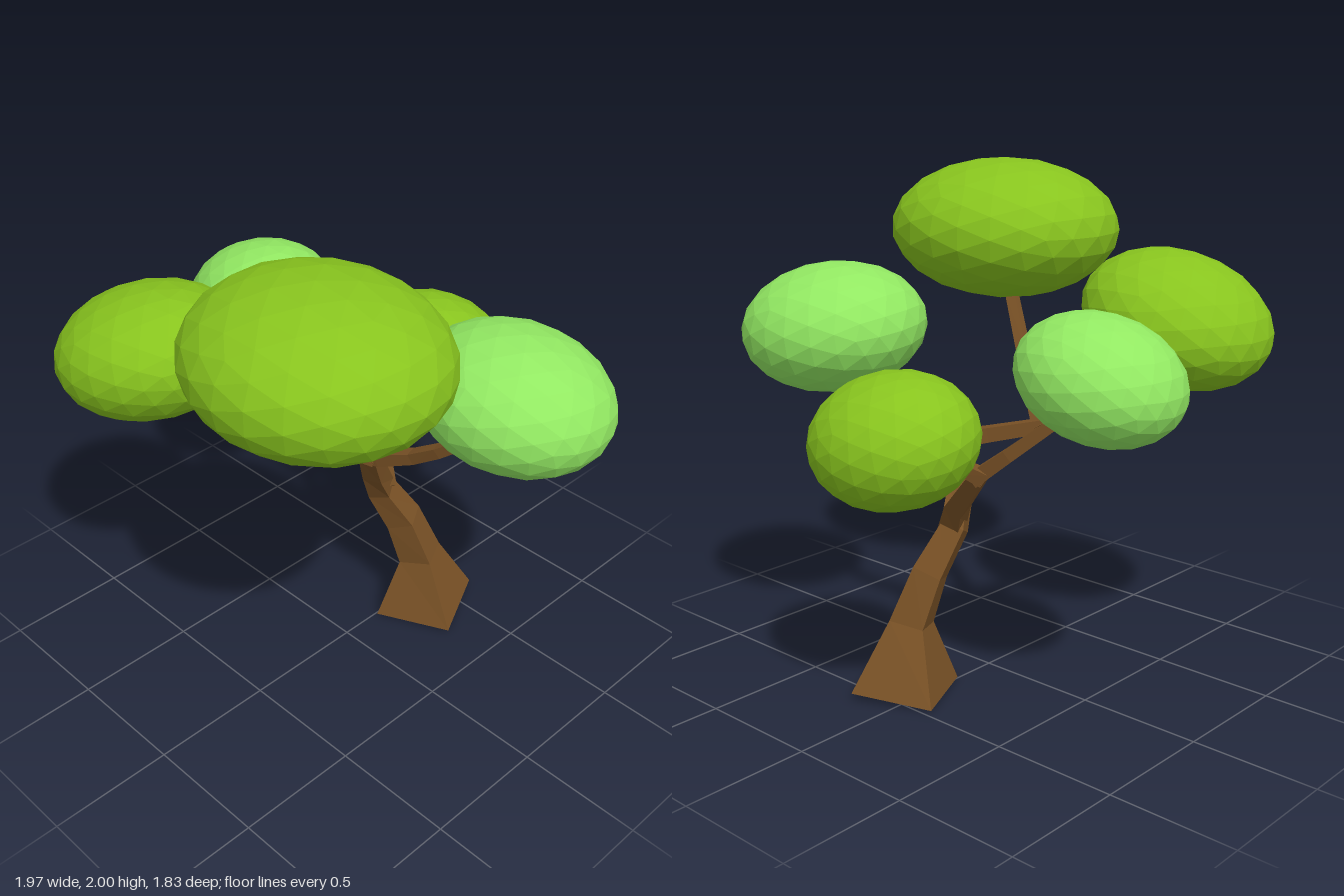
import * as THREE from 'three';

const bark = new THREE.MeshStandardMaterial({ color: 0x7a5226, flatShading: true });
const leaf = new THREE.MeshStandardMaterial({ color: 0x88c41e, flatShading: true });
const paleLeaf = new THREE.MeshStandardMaterial({ color: 0x92e862, flatShading: true });

// Square-section limb lofted through rings [x, y, z, halfWidth], capped at both ends
function limb(name, rings) {
  const centres = rings.map(([x, y, z]) => new THREE.Vector3(x, y, z));
  const ref = new THREE.Vector3(0.42, 0, 0.9);
  const pos = [], index = [];
  const last = rings.length - 1;
  rings.forEach((ring, i) => {
    const t = centres[Math.min(i + 1, last)].clone().sub(centres[Math.max(i - 1, 0)]).normalize();
    const u = t.clone().cross(ref).normalize();
    const v = u.clone().cross(t).normalize();
    for (const [a, b] of [[-1, -1], [-1, 1], [1, 1], [1, -1]]) {
      const p = centres[i].clone().addScaledVector(u, a * ring[3]).addScaledVector(v, b * ring[3]);
      pos.push(p.x, Math.max(0, p.y), p.z);
    }
  });
  for (let i = 0; i < last; i++) {
    for (let k = 0; k < 4; k++) {
      const a = i * 4 + k, b = i * 4 + (k + 1) % 4;
      index.push(a, a + 4, b, b, a + 4, b + 4);
    }
  }
  const e = last * 4;
  index.push(0, 1, 2, 0, 2, 3, e, e + 2, e + 1, e, e + 3, e + 2);
  // Orient every face outward by checking the enclosed volume
  const at = (i) => new THREE.Vector3().fromArray(pos, i * 3).sub(centres[0]);
  let volume = 0;
  for (let i = 0; i < index.length; i += 3) {
    volume += at(index[i]).dot(at(index[i + 1]).cross(at(index[i + 2])));
  }
  if (volume < 0) index.reverse();
  const geo = new THREE.BufferGeometry();
  geo.setAttribute('position', new THREE.Float32BufferAttribute(pos, 3));
  geo.setIndex(index);
  const flat = geo.toNonIndexed();
  flat.computeVertexNormals();
  const mesh = new THREE.Mesh(flat, bark);
  mesh.name = name;
  return mesh;
}

// Faceted ellipsoid of leaves
function foliage(name, material, centre, radii, tiltX = 0, tiltZ = 0) {
  const mesh = new THREE.Mesh(new THREE.IcosahedronGeometry(1, 3), material);
  mesh.name = name;
  mesh.position.set(...centre);
  mesh.scale.set(...radii);
  mesh.rotation.set(tiltX, 0, tiltZ);
  return mesh;
}

export function createModel() {
  const tree = new THREE.Group();
  tree.name = 'tree';

  // Leaning trunk, flared at the base, running up to the front fork
  tree.add(limb('trunk', [
    [0.085, 0.005, -0.395, 0.163], [0.075, 0.28, -0.365, 0.069], [0.03, 0.48, -0.305, 0.058],
    [-0.02, 0.65, -0.22, 0.046], [0.02, 0.79, -0.14, 0.04], [0.08, 0.96, -0.045, 0.034],
  ]));

  // Branches on the front fork
  tree.add(limb('rightBranch', [
    [0.04, 0.945, -0.05, 0.028], [0.12, 0.955, -0.06, 0.028], [0.27, 1.02, -0.09, 0.024],
    [0.39, 1.1, -0.1, 0.022], [0.48, 1.17, -0.12, 0.021],
  ]));
  tree.add(limb('frontBranch', [
    [0.1, 0.95, -0.06, 0.032], [0.0, 0.975, 0.0, 0.029], [-0.2, 1.025, 0.105, 0.026],
  ]));
  tree.add(limb('crownBranch', [
    [-0.19, 1.01, 0.09, 0.026], [0.02, 1.23, 0.24, 0.023], [0.24, 1.48, 0.4, 0.021],
  ]));
  tree.add(limb('frontLeftBranch', [
    [-0.17, 1.015, 0.09, 0.026], [-0.27, 1.09, 0.23, 0.022], [-0.41, 1.2, 0.43, 0.019],
  ]));

  // Branches on the back fork
  tree.add(limb('backBranch', [
    [-0.01, 0.66, -0.22, 0.042], [-0.08, 0.76, -0.265, 0.038], [-0.27, 0.94, -0.35, 0.029],
  ]));
  tree.add(limb('leftBranch', [
    [-0.24, 0.92, -0.345, 0.029], [-0.38, 1.03, -0.315, 0.024], [-0.57, 1.19, -0.24, 0.02],
  ]));
  tree.add(limb('rearBranch', [
    [-0.28, 0.93, -0.34, 0.028], [-0.23, 0.985, -0.42, 0.024], [-0.17, 1.04, -0.52, 0.021],
  ]));

  // Leaf clumps
  tree.add(foliage('crownFoliage', leaf, [0.33, 1.715, 0.465], [0.492, 0.287, 0.45]));
  tree.add(foliage('frontLeftFoliage', leaf, [-0.505, 1.425, 0.525], [0.388, 0.252, 0.358], 0, 0.29));
  tree.add(foliage('rearFoliage', leaf, [-0.115, 1.1, -0.625], [0.327, 0.244, 0.299], -0.2, -0.1));
  tree.add(foliage('leftFoliage', paleLeaf, [-0.675, 1.33, -0.175], [0.322, 0.222, 0.287], 0, 0.26));
  tree.add(foliage('rightFoliage', paleLeaf, [0.595, 1.365, -0.26], [0.391, 0.256, 0.356], -0.1, -0.08));
  return tree;
}
